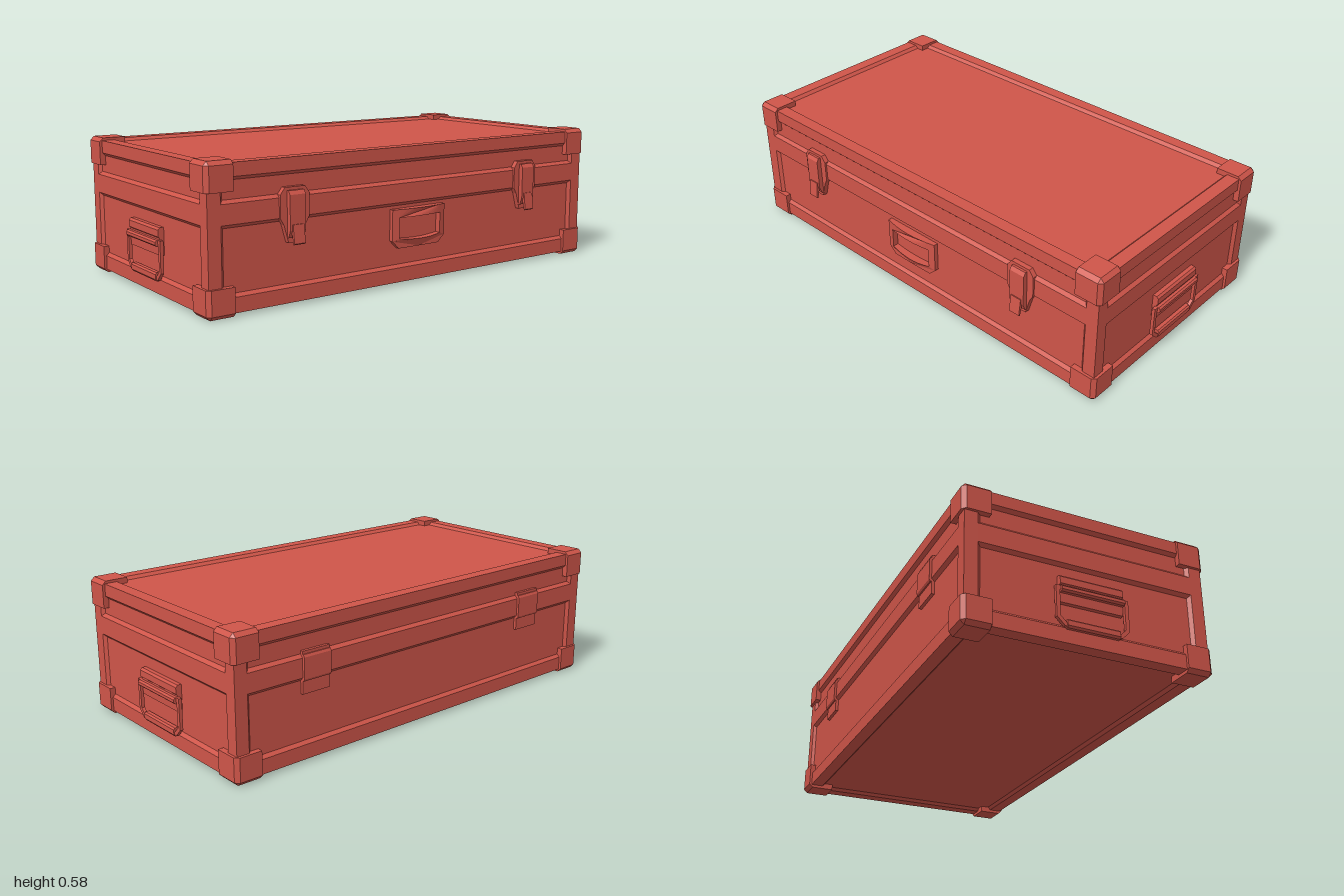
import * as THREE from 'three';
import { ConvexGeometry } from 'three/addons/geometries/ConvexGeometry.js';

const HX = 0.975, HZ = 0.509, Y0 = 0.015, Y1 = 0.573; // case half sizes, bottom and top
const DEPTH = 0.013, BEVEL = 0.013;                   // panel recess

export function createModel() {
  const red = new THREE.MeshStandardMaterial({ color: 0xcf5549 });
  red.name = 'case red';
  const model = new THREE.Group();
  model.name = 'storageCase';
  model.position.z = -0.016;

  const add = (parent, name, geo) => {
    const mesh = new THREE.Mesh(geo, red);
    mesh.name = name;
    parent.add(mesh);
    return mesh;
  };
  const poly = pts => new THREE.Shape(pts.map(p => new THREE.Vector2(...p)));
  const rect = ([x0, y0, x1, y1]) => [[x0, y0], [x1, y0], [x1, y1], [x0, y1]];
  const extrude = (shape, z0, z1) =>
    new THREE.ExtrudeGeometry(shape, { depth: z1 - z0, bevelEnabled: false }).translate(0, 0, z0);
  // Profile given as (outward, height), swept sideways over a width
  const sweep = (pts, width) =>
    extrude(poly(pts), -width / 2, width / 2).rotateY(-Math.PI / 2);

  // Recessed panel: four sloped sides and a floor
  function recess([x0, y0, x1, y1]) {
    const b = BEVEL, v = [];
    const o = rect([x0, y0, x1, y1]).map(p => [...p, 0]);
    const i = rect([x0 + b, y0 + b, x1 - b, y1 - b]).map(p => [...p, -DEPTH]);
    const quad = (p, q, r, s) => v.push(...p, ...q, ...r, ...p, ...r, ...s);
    for (let k = 0; k < 4; k++) quad(o[k], o[(k + 1) % 4], i[(k + 1) % 4], i[k]);
    quad(...i);
    const g = new THREE.BufferGeometry();
    g.setAttribute('position', new THREE.Float32BufferAttribute(v, 3));
    g.computeVertexNormals();
    return g;
  }

  // One wall facing +z, with its recessed panels
  function wall(name, outer, holes) {
    const g = new THREE.Group();
    g.name = name;
    const shape = poly(rect(outer));
    holes.forEach(h => {
      shape.holes.push(new THREE.Path(rect(h).map(p => new THREE.Vector2(...p))));
      add(g, name + 'Panel', recess(h));
    });
    add(g, name + 'Frame', new THREE.ShapeGeometry(shape));
    model.add(g);
    return g;
  }
  const sideHoles = w => [[-w, 0.075, w, 0.346], [-w, 0.424, w, 0.521]];
  const front = wall('frontWall', [-HX, Y0, HX, Y1], sideHoles(0.92));
  front.position.z = HZ;
  const back = wall('backWall', [-HX, Y0, HX, Y1], sideHoles(0.92));
  back.position.z = -HZ;
  back.rotation.y = Math.PI;
  const ends = [1, -1].map(s => {
    const w = wall(s > 0 ? 'leftWall' : 'rightWall', [-HZ, Y0, HZ, Y1], sideHoles(0.455));
    w.position.x = s * HX;
    w.rotation.y = s * Math.PI / 2;
    return w;
  });
  [['lidTop', Y1, -1], ['bottom', Y0, 1]].forEach(([name, y, s]) => {
    const w = wall(name, [-HX, -HZ, HX, HZ], [[-0.92, -0.455, 0.92, 0.455]]);
    w.position.y = y;
    w.rotation.x = s * Math.PI / 2;
  });

  // Chamfered corner caps
  const S = 0.115, M = S - 0.016;
  const capPts = [[0, 0, 0], [S, 0, 0], [0, S, 0], [0, 0, S],
    [S, M, M], [M, S, M], [M, M, S],
    [0, S, M], [0, M, S], [S, 0, M], [M, 0, S], [S, M, 0], [M, S, 0]];
  for (const sx of [1, -1]) for (const sy of [1, -1]) for (const sz of [1, -1]) {
    const pts = capPts.map(([x, y, z]) => new THREE.Vector3(sx * x, sy * y, sz * z));
    const cap = add(model, 'cornerCap', new ConvexGeometry(pts));
    cap.position.set(sx * (0.986 - S), sy > 0 ? 0.584 - S : S + 0.002, sz * (0.52 - S));
  }

  for (const s of [1, -1]) {
    // Front latches: back plate, clasp and flicked-out lever
    const latch = new THREE.Group();
    latch.name = 'latch';
    latch.position.x = s * 0.608;
    front.add(latch);
    add(latch, 'latchPlate', extrude(poly([[-0.03, 0.25], [0.03, 0.25], [0.05, 0.32], [0.065, 0.345],
      [0.065, 0.435], [0.045, 0.462], [-0.045, 0.462], [-0.065, 0.435], [-0.065, 0.345],
      [-0.05, 0.32]]), -DEPTH, 0.008));
    add(latch, 'latchClasp', sweep([[0, 0.27], [0.016, 0.27], [0.028, 0.3], [0.028, 0.435],
      [0.018, 0.45], [0, 0.45]], 0.07));
    add(latch, 'latchLever', sweep([[0.034, 0.245], [0.041, 0.25], [0.032, 0.322], [0.02, 0.322],
      [0.02, 0.3]], 0.05));

    // Rear hinges: knuckle plate over two leaves
    const hinge = new THREE.Group();
    hinge.name = 'hinge';
    hinge.position.x = s * 0.605;
    back.add(hinge);
    add(hinge, 'hingePlate', sweep([[-DEPTH, 0.333], [0.005, 0.333], [0.01, 0.342], [0.01, 0.428],
      [0.005, 0.438], [-DEPTH, 0.438]], 0.13));
    add(hinge, 'hingeLeaf', new THREE.BoxGeometry(0.13, 0.17, 0.016).translate(0, 0.365, -0.008));
  }

  // Front grip: bowed frame around an opening
  const row = (n, w, y) => Array.from({ length: n + 1 }, (_, i) => [-w + 2 * w * i / n, y]);
  const grip = poly([...row(8, 0.105, 0.158), [0.138, 0.19], ...row(8, 0.138, 0.32).reverse(), [-0.138, 0.19]]);
  const opening = [...row(8, 0.108, 0.2).map(([x, y]) => [x, y - 0.008 * (1 - (x / 0.108) ** 2)]),
    ...row(8, 0.108, 0.286).reverse()];
  grip.holes.push(new THREE.Path(opening.map(p => new THREE.Vector2(...p))));
  const gripGeo = extrude(grip, -DEPTH, 0.005);
  const gp = gripGeo.attributes.position;
  for (let i = 0; i < gp.count; i++) {
    const bow = 0.018 * (1 - (gp.getX(i) / 0.14) ** 2);
    if (gp.getZ(i) > 0) gp.setZ(i, 0.005 + (gp.getY(i) < 0.17 ? 0.1 : 1) * bow);
  }
  gripGeo.computeVertexNormals();
  add(front, 'frontGrip', gripGeo);

  // Drop handles on both ends
  const half = [[0.152, 0.238], [0.152, 0.108], [0.12, 0.075]];
  const inner = [[0.112, 0.09], [0.136, 0.114], [0.136, 0.238]];
  const mirror = pts => pts.map(([x, y]) => [-x, y]).reverse();
  const bailShape = poly([...half, ...mirror(half), ...mirror(inner), ...mirror([]), ...inner]);
  ends.forEach(end => {
    add(end, 'handleBracket', sweep([[-DEPTH, 0.175], [0.004, 0.175], [0.006, 0.21], [0.006, 0.245],
      [0.012, 0.25], [0.012, 0.277], [0.004, 0.286], [-DEPTH, 0.286]], 0.265));
    add(end, 'handleBarrel', sweep([[0, 0.212], [0.018, 0.212], [0.025, 0.219], [0.025, 0.231],
      [0.018, 0.238], [0, 0.238]], 0.265));
    add(end, 'handleBail', extrude(bailShape, 0, 0.014));
    [1, -1].forEach(s => add(end, 'handlePivot',
      new THREE.BoxGeometry(0.03, 0.016, 0.014).translate(s * 0.137, 0.23, 0.007)));
    add(end, 'handleGrip', sweep([[-0.004, 0.07], [0.012, 0.07], [0.018, 0.078], [0.018, 0.098],
      [0.012, 0.105], [-0.004, 0.105]], 0.22));
  });
  return model;
}
